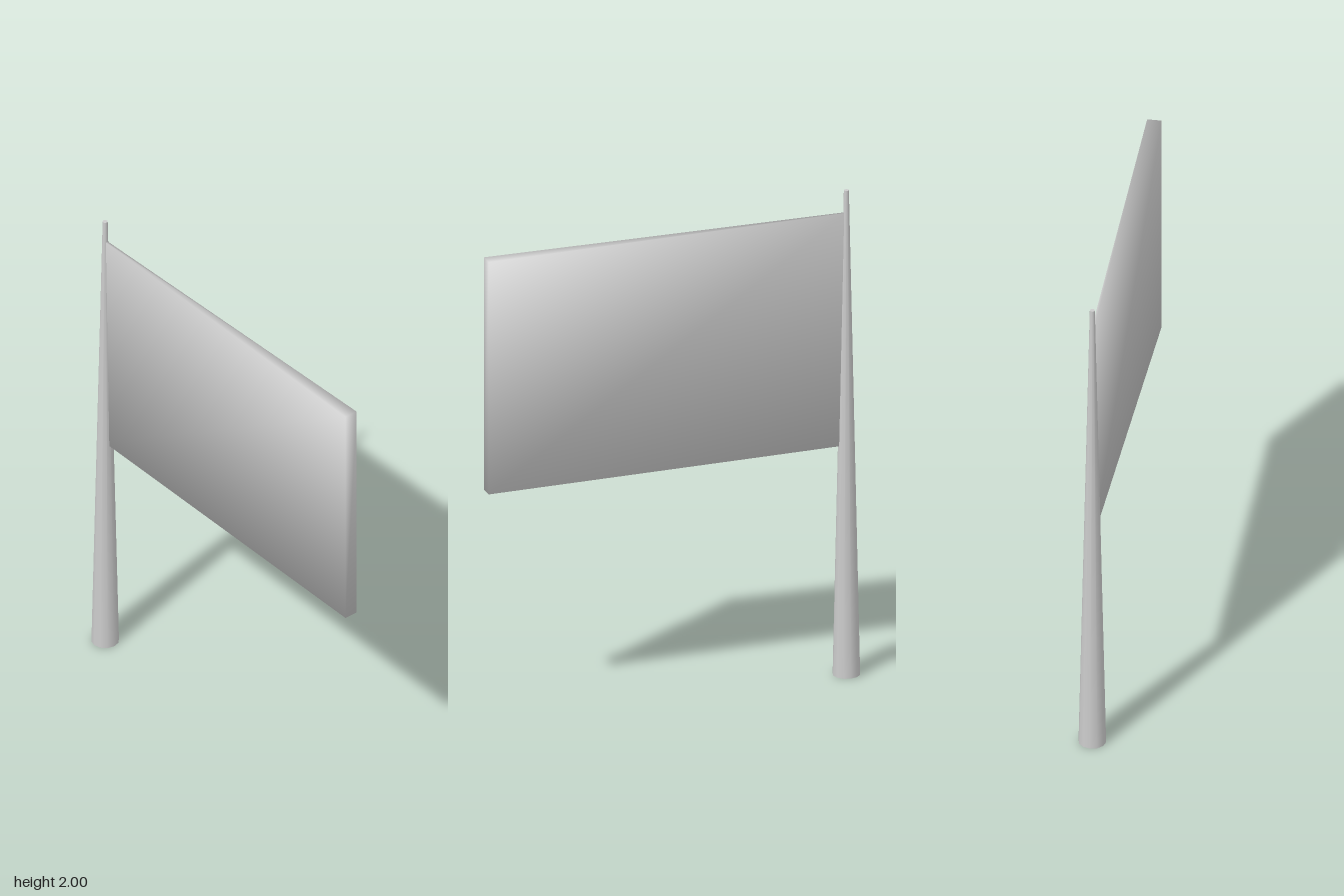
import * as THREE from 'three';

const POLE_X = -0.714;

export function createModel() {
  const model = new THREE.Group();
  const material = new THREE.MeshStandardMaterial({ color: 0xcccccc });

  // Tapered pole
  const pole = new THREE.Mesh(new THREE.CylinderGeometry(0.01, 0.054, 2, 12), material);
  pole.name = 'pole';
  pole.position.set(POLE_X, 1, 0);
  model.add(pole);

  // Banner: a slab that thickens away from the pole, softly shaded across its corners
  const left = POLE_X, right = 0.766, bottom = 0.947, top = 1.907;
  const geometry = new THREE.BoxGeometry(right - left, top - bottom, 1);
  const position = geometry.attributes.position;
  const normal = geometry.attributes.normal;
  const corner = new THREE.Vector3();
  for (let i = 0; i < position.count; i++) {
    corner.fromBufferAttribute(position, i);
    const halfDepth = corner.x > 0 ? 0.028 : 0.005;
    position.setZ(i, Math.sign(corner.z) * halfDepth);
    corner.set(Math.sign(corner.x), Math.sign(corner.y), Math.sign(corner.z)).normalize();
    normal.setXYZ(i, corner.x, corner.y, corner.z);
  }
  const banner = new THREE.Mesh(geometry, material);
  banner.name = 'banner';
  banner.position.set((left + right) / 2, (bottom + top) / 2, 0);
  model.add(banner);

  return model;
}
